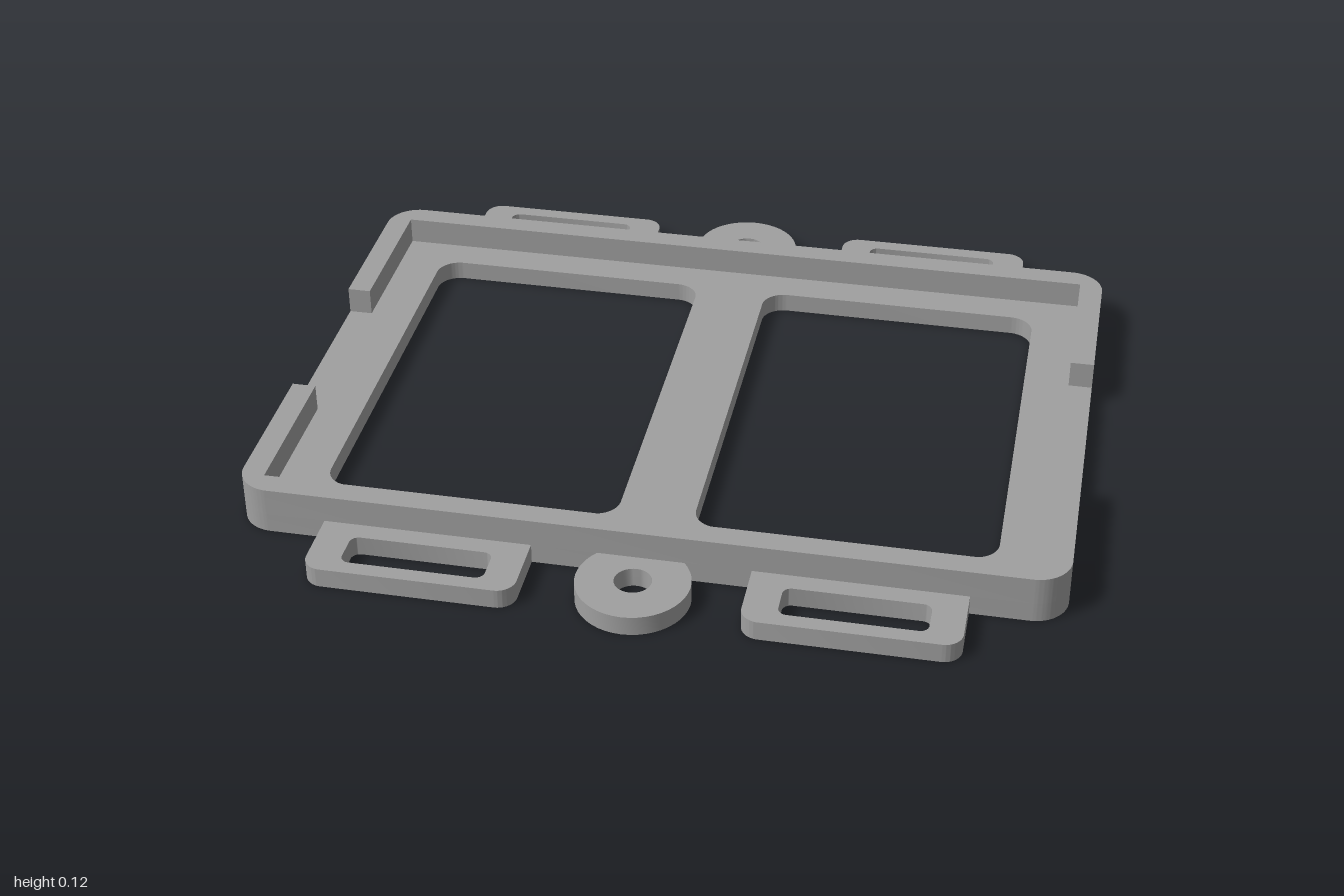
import * as THREE from 'three';
import { toCreasedNormals } from 'three/addons/utils/BufferGeometryUtils.js';

const W = 1, D = 0.69;         // half width and half depth of the frame
const BASE = 0.05, TOP = 0.12; // floor and rim heights
const R = 0.085;               // outer corner radius

// Rounded rectangle path between two corners
function roundedRect(path, x0, y0, x1, y1, r) {
  path.moveTo(x0 + r, y0);
  path.lineTo(x1 - r, y0);
  path.absarc(x1 - r, y0 + r, r, -Math.PI / 2, 0);
  path.lineTo(x1, y1 - r);
  path.absarc(x1 - r, y1 - r, r, 0, Math.PI / 2);
  path.lineTo(x0 + r, y1);
  path.absarc(x0 + r, y1 - r, r, Math.PI / 2, Math.PI);
  path.lineTo(x0, y0 + r);
  path.absarc(x0 + r, y0 + r, r, Math.PI, Math.PI * 1.5);
  return path;
}

// Plan shape raised into a flat slab; shape +y becomes -z
function slab(shape, y0, y1) {
  const geo = new THREE.ExtrudeGeometry(shape, { depth: y1 - y0, bevelEnabled: false, curveSegments: 16 });
  geo.rotateX(-Math.PI / 2).translate(0, y0, 0);
  return toCreasedNormals(geo, 0.6);
}

export function createModel() {
  const model = new THREE.Group();
  model.name = 'mountingFrame';
  const grey = new THREE.MeshStandardMaterial({ color: 0xa0a0a0 });
  grey.name = 'grey plastic';

  const add = (parent, name, geo) => {
    const mesh = new THREE.Mesh(geo, grey);
    mesh.name = name;
    parent.add(mesh);
  };

  // Base plate with two windows and a centre bar
  const plate = roundedRect(new THREE.Shape(), -W, -D, W, D, R);
  plate.holes.push(
    roundedRect(new THREE.Path(), -0.825, -0.54, -0.093, 0.54, 0.06),
    roundedRect(new THREE.Path(), 0.093, -0.54, 0.825, 0.54, 0.06));
  add(model, 'basePlate', slab(plate, 0, BASE));

  // U-shaped rim: rounded outside, square inside, open at the middle of each side
  const rim = new THREE.Shape();
  rim.moveTo(W, 0.235);
  rim.lineTo(W, D - R);
  rim.absarc(W - R, D - R, R, 0, Math.PI / 2);
  rim.lineTo(-W + R, D);
  rim.absarc(-W + R, D - R, R, Math.PI / 2, Math.PI);
  rim.lineTo(-W, 0.235);
  rim.lineTo(-0.94, 0.235);
  rim.lineTo(-0.94, 0.63);
  rim.lineTo(0.94, 0.63);
  rim.lineTo(0.94, 0.235);
  rim.closePath();
  const rimGeo = slab(rim, BASE, TOP);

  // Strap loop: rounded outer corners, flush against the frame
  const loop = (side) => {
    const a = 0.265, b = 0.775, end = 0.875, r = 0.045;
    const s = new THREE.Shape();
    s.moveTo(a, D);
    s.lineTo(b, D);
    s.lineTo(b, end - r);
    s.absarc(b - r, end - r, r, 0, Math.PI / 2);
    s.lineTo(a + r, end);
    s.absarc(a + r, end - r, r, Math.PI / 2, Math.PI);
    s.closePath();
    s.holes.push(roundedRect(new THREE.Path(), 0.345, 0.738, 0.692, 0.836, 0.022));
    const geo = slab(s, 0, BASE);
    return side > 0 ? geo : geo.translate(-a - b, 0, 0);
  };

  // Screw ring, cut off where it meets the frame
  const ringZ = 0.778, ringR = 0.137;
  const cut = Math.asin((D - ringZ) / ringR);
  const ring = new THREE.Shape();
  ring.absarc(0, ringZ, ringR, cut, Math.PI - cut);
  ring.closePath();
  ring.holes.push(new THREE.Path().absarc(0, ringZ, 0.045, 0, Math.PI * 2));
  const ringGeo = slab(ring, 0, BASE);
  const loops = [loop(1), loop(-1)];

  // Same set of parts at the back and, turned round, at the front
  for (const [name, turn] of [['back', 0], ['front', Math.PI]]) {
    const half = new THREE.Group();
    half.name = name + 'Edge';
    half.rotation.y = turn;
    add(half, name + 'Rim', rimGeo);
    add(half, name + 'ScrewRing', ringGeo);
    loops.forEach((geo, i) => add(half, name + ((i === 0) === (turn === 0) ? 'Left' : 'Right') + 'StrapLoop', geo));
    model.add(half);
  }
  return model;
}
